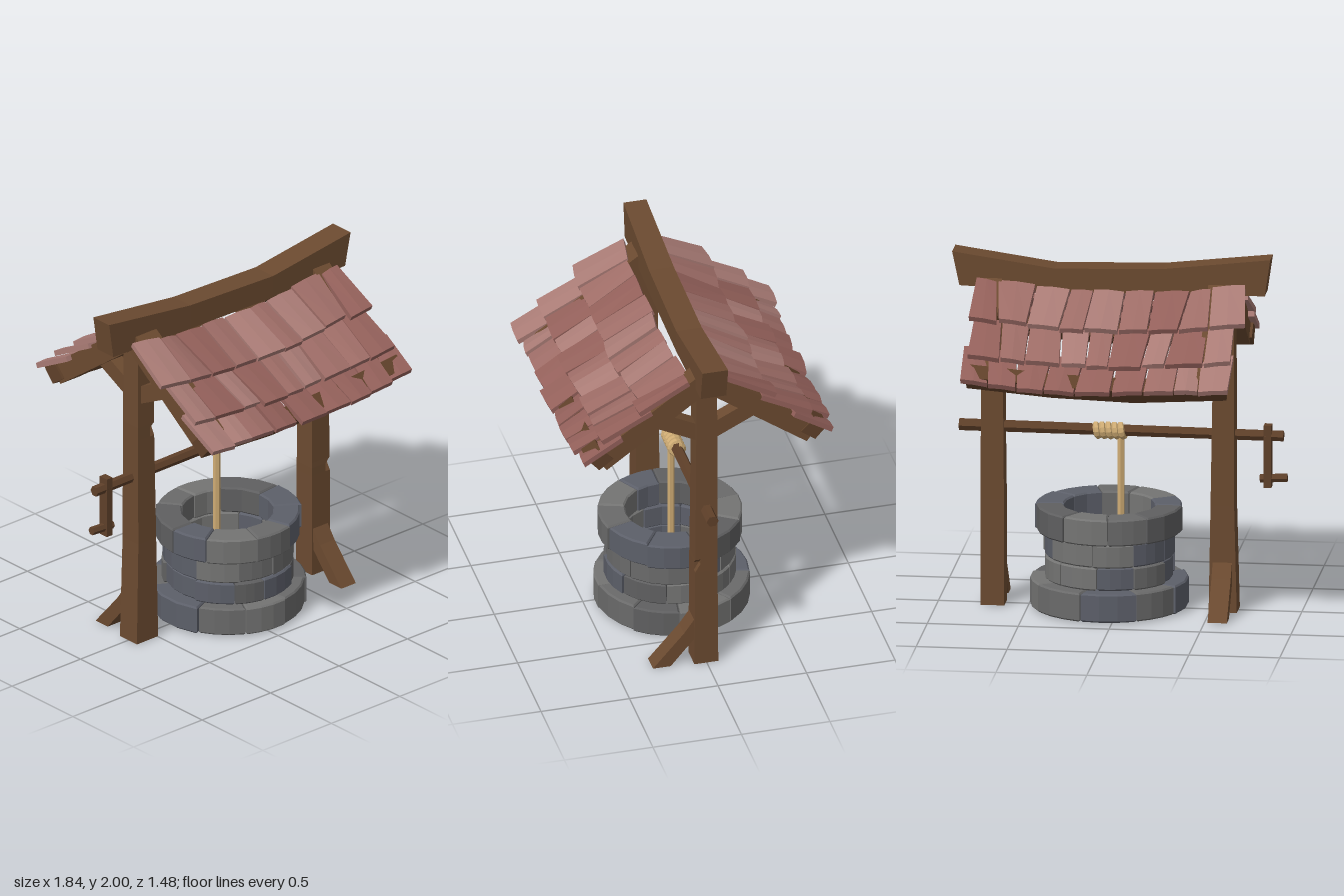
import * as THREE from 'three';

const mat = (color) => new THREE.MeshStandardMaterial({ color, flatShading: true });
const WOOD = mat(0x6b4a30), WOOD_DARK = mat(0x5f4029), ROPE = mat(0xcfac74);
const STONES = [0x6a6a6a, 0x5f5f60, 0x5c5f69, 0x747473].map(mat);
const TILES = [0x93605a, 0xa97b75, 0x9d6c66].map(mat);

function seeded(seed) {
  return () => ((seed = (seed * 16807) % 2147483647) - 1) / 2147483646;
}

function add(parent, name, geometry, material) {
  const mesh = new THREE.Mesh(geometry, material);
  mesh.name = name;
  parent.add(mesh);
  return mesh;
}

// Flat-shaded skin over cross-sections, capped at both ends
function loft(rings) {
  const pos = [], n = rings[0].length, last = rings.length - 1;
  const tri = (...pts) => pts.forEach((p) => pos.push(...p));
  for (let i = 0; i < last; i++) {
    for (let j = 0; j < n; j++) {
      const k = (j + 1) % n;
      const a = rings[i][j], b = rings[i][k], c = rings[i + 1][k], d = rings[i + 1][j];
      tri(a, b, c);
      tri(a, c, d);
    }
  }
  for (let j = 1; j < n - 1; j++) {
    tri(rings[0][0], rings[0][j + 1], rings[0][j]);
    tri(rings[last][0], rings[last][j], rings[last][j + 1]);
  }
  const g = new THREE.BufferGeometry();
  g.setAttribute('position', new THREE.Float32BufferAttribute(pos, 3));
  g.computeVertexNormals();
  return g;
}

// Post section: [y, x0, x1, z0, z1, notch], the notch chips the front left corner
function postRing([y, x0, x1, z0, z1, notch = 0]) {
  return [[x0, y, z0], [x0, y, z1], [x1 - 0.03, y, z1], [x1 - notch, y, z1 - notch], [x1, y, z1 - 0.03], [x1, y, z0]];
}

// Beam section along x: [x, y0, y1, z0, z1]
const beamRing = ([x, y0, y1, z0, z1]) => [[x, y0, z0], [x, y1, z0], [x, y1, z1], [x, y0, z1]];

// Straight timber in a plane of constant x, from [z, y] to [z, y]
function strut(parent, name, x, [z0, y0], [z1, y1], width, depth) {
  const len = Math.hypot(z1 - z0, y1 - y0);
  const m = add(parent, name, new THREE.BoxGeometry(width, depth, len), WOOD);
  m.position.set(x, (y0 + y1) / 2, (z0 + z1) / 2);
  m.rotation.x = -Math.atan2(y1 - y0, z1 - z0);
}

function buildWell() {
  const well = new THREE.Group();
  well.name = 'stoneWell';
  well.position.set(0.06, 0, 0.02);
  const rnd = seeded(77);
  // bottom, top, outer radius, inner radius, stone count
  const courses = [
    [0.008, 0.168, 0.425, 0.27, 9], [0.168, 0.297, 0.357, 0.25, 10],
    [0.297, 0.428, 0.357, 0.25, 9], [0.428, 0.577, 0.4, 0.25, 9],
  ];
  const b = 0.009;
  courses.forEach(([y0, y1, outer, inner, count], c) => {
    const cuts = [];
    for (let i = 0; i < count; i++) cuts.push(((i + c * 0.45 + (rnd() - 0.5) * 0.4) / count) * Math.PI * 2);
    cuts.push(cuts[0] + Math.PI * 2);
    for (let i = 0; i < count; i++) {
      const gap = 0.002 + b, R = outer - b + (rnd() - 0.5) * 0.02, r = inner + b + (rnd() - 0.5) * 0.015;
      const at = (rad, t) => {
        const lo = cuts[i] + gap / rad, hi = cuts[i + 1] - gap / rad, a = lo + (hi - lo) * t;
        return new THREE.Vector2(rad * Math.cos(a), rad * Math.sin(a));
      };
      const outline = [0, 0.33, 0.67, 1].map((t) => at(R, t)).concat([1, 0.5, 0].map((t) => at(r, t)));
      const g = new THREE.ExtrudeGeometry(new THREE.Shape(outline), {
        depth: y1 - y0 - 2 * b, bevelEnabled: true, bevelThickness: b, bevelSize: b, bevelSegments: 1,
      });
      g.rotateX(-Math.PI / 2);
      g.translate(0, y0 + b, 0);
      add(well, 'stone', g, STONES[Math.floor(rnd() * STONES.length)]);
    }
  });
  return well;
}

function buildFrame() {
  const frame = new THREE.Group();
  frame.name = 'timberFrame';
  // Posts with a chipped corner
  add(frame, 'rightPost', loft([
    [0, -0.65, -0.495, -0.07, 0.07], [0.6, -0.635, -0.505, -0.065, 0.065],
    [1.23, -0.635, -0.515, -0.062, 0.06], [1.285, -0.635, -0.515, -0.062, 0.06, 0.028],
    [1.31, -0.635, -0.515, -0.062, 0.06], [1.84, -0.63, -0.515, -0.06, 0.058],
  ].map(postRing)), WOOD);
  add(frame, 'leftPost', loft([
    [0, 0.63, 0.76, -0.065, 0.07], [0.6, 0.632, 0.762, -0.06, 0.066],
    [0.65, 0.632, 0.762, -0.06, 0.066, 0.028], [0.68, 0.633, 0.762, -0.06, 0.065],
    [1.3, 0.638, 0.757, -0.06, 0.06], [1.84, 0.64, 0.755, -0.06, 0.055],
  ].map(postRing)), WOOD);

  // Sagging ridge beam with slanted ends
  const ridge = [
    [-0.82, 1.795, 2.0, -0.08, 0.05], [-0.25, 1.79, 1.932, -0.08, 0.06],
    [0.35, 1.785, 1.915, -0.08, 0.065], [0.895, 1.805, 1.995, -0.08, 0.065],
  ].map(beamRing);
  const slant = [-0.015, 0, 0, 0.02];
  add(frame, 'ridgeBeam', loft(ridge.map((ring, i) =>
    ring.map(([x, y, z]) => [x + slant[i] * (y > 1.9 ? 1 : -1), y, z]))), WOOD);

  for (const s of [1, -1]) {
    // Rafters and diagonal braces on each post
    for (const [x, w] of [[-0.57, 0.15], [0.7, 0.12]]) {
      strut(frame, 'rafter', x, [0.02 * s, 1.82], [0.6 * s, 1.4], w, 0.12);
      strut(frame, 'rafterBrace', x, [0.03 * s, 1.49], [0.31 * s, 1.63], 0.08, 0.095);
    }
    // Eave beam, tilted with the roof and dipping at mid-span
    const eave = [[-0.66, 1.4], [-0.15, 1.37], [0.3, 1.385], [0.77, 1.425]].map(([x, y]) => {
      const ring = [[-0.075, 0], [0.0, 0.075], [0.075, 0.02], [0.005, -0.06]]
        .map(([dz, dy]) => [x, y + dy, (0.605 + dz) * s]);
      return s > 0 ? ring : ring.reverse();
    });
    add(frame, 'eaveBeam', loft(eave), WOOD_DARK);
  }

  // Foot braces, one forward and one backward
  for (const [x, s] of [[0.692, 1], [-0.57, -1]]) {
    add(frame, 'footBrace', loft([[0, 0.2, 0.3], [0.2, 0.03, 0.125], [0.285, 0.03, 0.065]].map(([y, a, b]) =>
      postRing([y, x - 0.053, x + 0.053, s > 0 ? a : -b, s > 0 ? b : -a]))), WOOD);
  }
  return frame;
}

function buildRoof() {
  const roof = new THREE.Group();
  roof.name = 'tiledRoof';
  // Each row: left x, right x, upper z and y, lower z and y, sag
  const rows = [
    [-0.72, 0.785, 0.1, 1.868, 0.375, 1.72, 0.065],
    [-0.675, 0.77, 0.31, 1.705, 0.59, 1.565, 0.055],
    [-0.685, 0.8, 0.49, 1.568, 0.715, 1.435, 0.04],
  ];
  const count = 9, t = 0.027;
  for (const s of [1, -1]) {
    const rnd = seeded(4242);
    const j = (v) => (rnd() - 0.5) * 2 * v;
    for (const [xl, xr, zu, yu, zd, yd, sag] of rows) {
      // Slanted joints shared by neighbouring tiles
      const joints = Array.from({ length: count + 1 }, (_, i) =>
        ({ x: xl + ((xr - xl) * (i + (i % count ? j(0.18) : 0))) / count, lean: j(0.018) }));
      for (let i = 0; i < count; i++) {
        const [p, q] = [joints[i], joints[i + 1]];
        const up = j(0.012), low = j(0.018), turn = j(0.025), lift = j(0.006);
        const rings = [0.03, 0.5, 0.97].map((f) => {
          const x = p.x + (q.x - p.x) * f, lean = p.lean + (q.lean - p.lean) * f;
          const bow = f === 0.5 ? 0.005 : 0, twist = (f - 0.5) * turn;
          const dip = lift + bow + twist * 0.6 - sag * (1 - ((x - 0.05) / 0.76) ** 2);
          const z0 = zu + up + twist, z1 = zd + low + twist + bow;
          const ring = [
            [x - lean, yu + dip - t, (z0 - 0.012) * s], [x - lean, yu + dip, z0 * s],
            [x + lean, yd + dip, z1 * s], [x + lean, yd + dip - t, (z1 - 0.012) * s],
          ];
          return s > 0 ? ring : ring.reverse();
        });
        add(roof, 'roofTile', loft(rings), TILES[Math.floor(rnd() * TILES.length)]);
      }
    }
  }
  return roof;
}

function buildWinch() {
  const winch = new THREE.Group();
  winch.name = 'winch';
  const rod = (name, x0, x1, y, r0, r1) => {
    const m = add(winch, name, new THREE.CylinderGeometry(r0, r1, x1 - x0, 6), WOOD_DARK);
    m.rotation.z = Math.PI / 2;
    m.position.set((x0 + x1) / 2, y, 0);
    return m;
  };
  rod('axle', -0.9, 0.885, 0.994, 0.03, 0.034).rotation.z += 0.006;
  rod('crankHandle', -0.92, -0.77, 0.75, 0.024, 0.024).rotation.z -= 0.05;
  const arm = add(winch, 'crankArm', new THREE.BoxGeometry(0.042, 0.35, 0.06), WOOD_DARK);
  arm.position.set(-0.813, 0.875, 0);

  // Rope wound on the axle and hanging into the well
  const turns = 5, pts = [];
  for (let i = 0; i <= turns * 10; i++) {
    const a = (i / 10) * Math.PI * 2;
    pts.push(new THREE.Vector3(-0.036 + (0.17 * i) / (turns * 10), 0.991 + 0.032 * Math.cos(a), 0.032 * Math.sin(a)));
  }
  add(winch, 'ropeCoil', new THREE.TubeGeometry(new THREE.CatmullRomCurve3(pts), 60, 0.019, 6), ROPE);
  const rope = add(winch, 'rope', new THREE.CylinderGeometry(0.02, 0.02, 0.96, 6), ROPE);
  rope.position.set(-0.005, 0.49, 0);
  return winch;
}

export function createModel() {
  const model = new THREE.Group();
  model.name = 'waterWell';
  model.add(buildWell(), buildFrame(), buildRoof(), buildWinch());
  return model;
}
